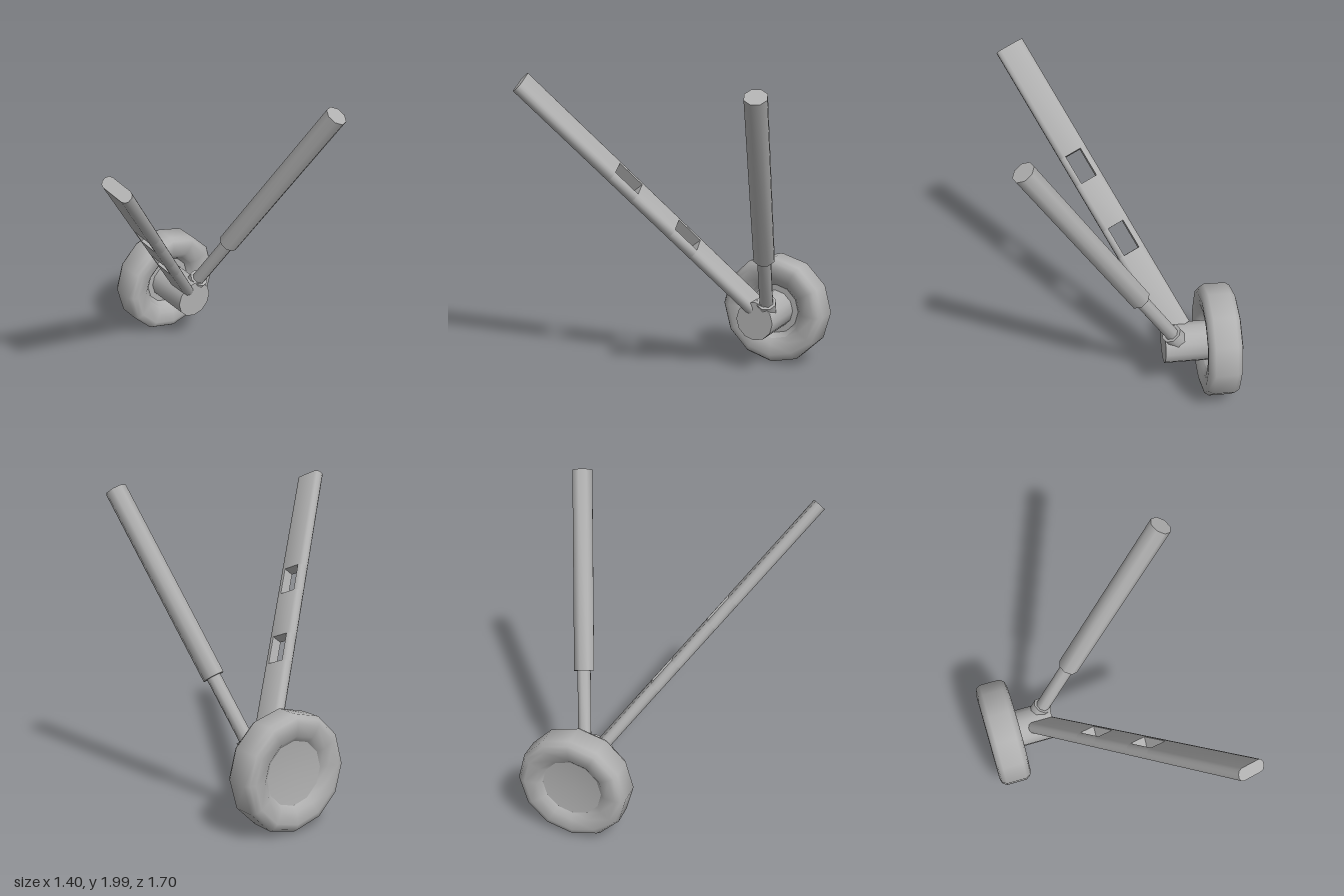
import * as THREE from 'three';
import { toCreasedNormals } from 'three/addons/utils/BufferGeometryUtils.js';

const V = (x, y, z) => new THREE.Vector3(x, y, z);

export function createModel() {
  const model = new THREE.Group();
  const grey = new THREE.MeshStandardMaterial({ color: 0xb0b0b0 });
  grey.name = 'plain grey';

  const add = (name, geometry, parent = model) => {
    const mesh = new THREE.Mesh(geometry, grey);
    mesh.name = name;
    parent.add(mesh);
    return mesh;
  };
  // Turned part from [radius, height] pairs
  const turned = (pairs, sides, crease) => toCreasedNormals(
    new THREE.LatheGeometry(pairs.map(([r, h]) => new THREE.Vector2(r, h)), sides), crease);

  // Wheel and axle share an axis along x
  const axis = new THREE.Group();
  axis.name = 'wheelAssembly';
  axis.position.set(-0.59, 0.37, -0.375);
  axis.rotation.z = -Math.PI / 2;
  model.add(axis);
  add('tyre', turned([
    [0.2, -0.07], [0.235, -0.1], [0.31, -0.11], [0.345, -0.1], [0.365, -0.07],
    [0.365, 0.07], [0.345, 0.1], [0.31, 0.11], [0.235, 0.1], [0.2, 0.07],
  ], 12, 1.0), axis);
  add('hub', turned([[0, -0.05], [0.2, -0.07], [0.2, 0.07], [0.17, 0.03], [0, 0.03]], 12, 0.6), axis);
  add('axle', turned([[0, 0], [0.13, 0], [0.13, 0.35], [0, 0.35]], 12, 0.8), axis);

  // Flat arm: local x is its width, y its thickness, z runs up its length
  const along = V(0.633, 1, 0.757).normalize();
  const normal = V(0, along.z, -along.y).normalize();
  const across = normal.clone().cross(along);
  const arm = new THREE.Group();
  arm.name = 'flatArm';
  arm.quaternion.setFromRotationMatrix(new THREE.Matrix4().makeBasis(across, normal, along));
  arm.position.set(0.018, 1, 0.085);
  model.add(arm);

  const edge = [[0.065, -0.0375], [0.084, -0.03], [0.095, -0.012],
    [0.095, 0.012], [0.084, 0.03], [0.065, 0.0375]];
  const mirrored = (pts) => pts.map(([x, y]) => [-x, -y]);
  const rail = [[0.055, 0.0375], [0.055, -0.0375], ...edge];
  const bar = (name, pts, from, to) => {
    const shape = new THREE.Shape(pts.map(([x, y]) => new THREE.Vector2(x, y)));
    const g = new THREE.ExtrudeGeometry(shape, { depth: to - from, bevelEnabled: false });
    g.translate(0, 0, from);
    add(name, toCreasedNormals(g, 0.9), arm);
  };
  // Solid stretches alternate with pairs of rails beside the two slots
  const stops = [-0.775, -0.2, 0, 0.336, 0.536, 1.335];
  for (let i = 0; i < stops.length - 1; i++) {
    if (i % 2 === 0) {
      bar('armPlate', [...edge, ...mirrored(edge)], stops[i], stops[i + 1]);
    } else {
      bar('slotRailLeft', rail, stops[i], stops[i + 1]);
      bar('slotRailRight', mirrored(rail), stops[i], stops[i + 1]);
    }
  }

  // Round strut: collar, thin rod and thick sleeve on one line
  const foot = V(-0.31, 0.45, -0.43);
  const span = V(0.605, 1.955, -0.775).sub(foot);
  const length = span.length();
  const strut = new THREE.Group();
  strut.name = 'strut';
  strut.position.copy(foot);
  strut.quaternion.setFromUnitVectors(V(0, 1, 0), span.normalize());
  model.add(strut);
  const rod = (name, radius, from, to) =>
    add(name, turned([[0, from], [radius, from], [radius, to], [0, to]], 8, 0.9), strut);
  rod('strutCollar', 0.066, -0.06, 0.06);
  rod('strutRod', 0.046, 0, length * 0.3);
  rod('strutSleeve', 0.07, length * 0.27, length);

  return model;
}
